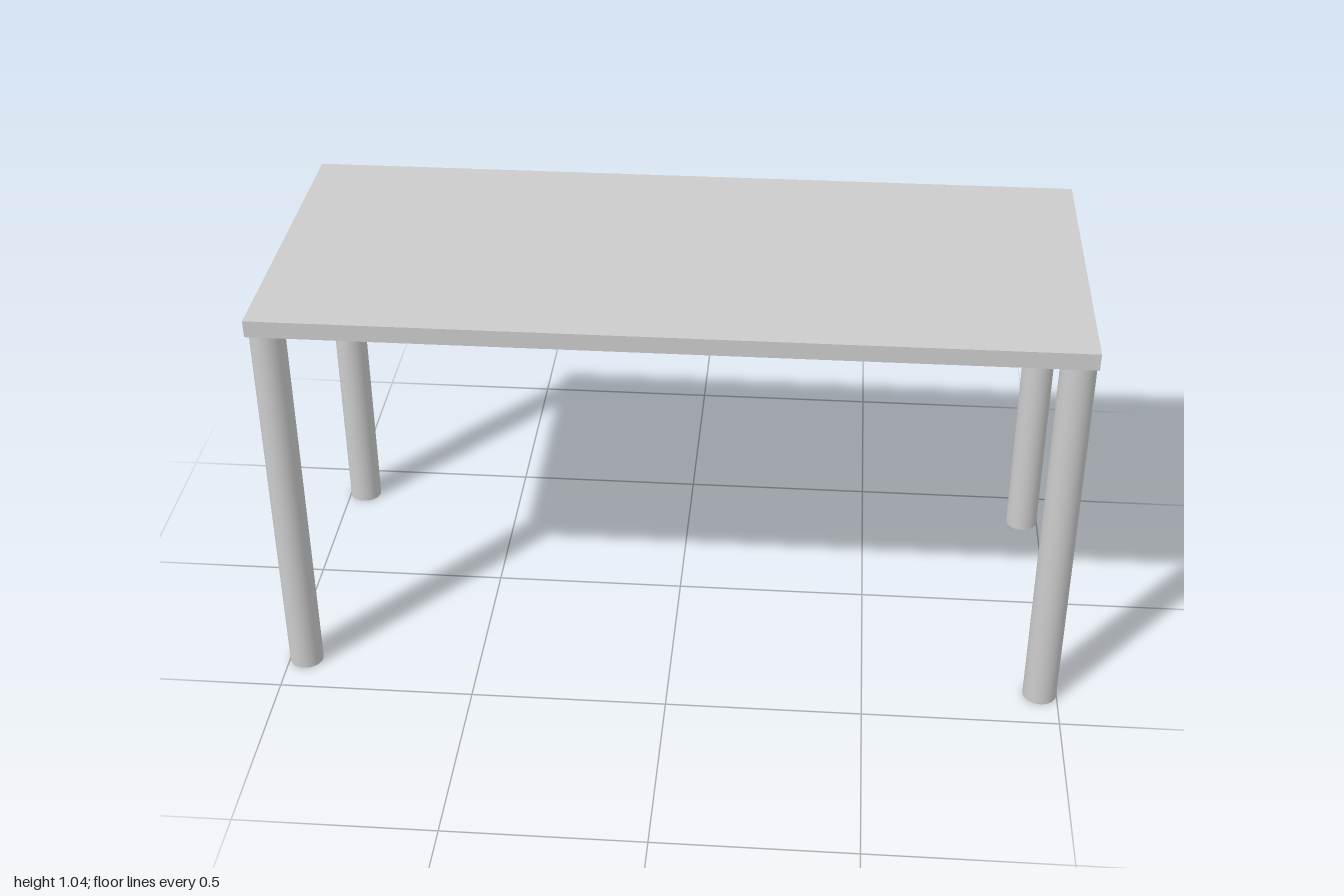
import * as THREE from 'three';

export function createModel() {
  const group = new THREE.Group();
  const material = new THREE.MeshStandardMaterial({ color: 0xcccccc });

  const width = 2, depth = 0.854, legHeight = 1.0, thickness = 0.043, radius = 0.043;

  // Flat rectangular slab
  const top = new THREE.Mesh(new THREE.BoxGeometry(width, thickness, depth), material);
  top.name = 'tableTop';
  top.position.y = legHeight + thickness / 2;
  group.add(top);

  // Four round legs, flush with the edges of the slab
  const legGeometry = new THREE.CylinderGeometry(radius, radius, legHeight, 48);
  for (const [side, sx] of [['Left', 1], ['Right', -1]]) {
    for (const [end, sz] of [['front', 1], ['back', -1]]) {
      const leg = new THREE.Mesh(legGeometry, material);
      leg.name = `${end}${side}Leg`;
      leg.position.set(sx * (width / 2 - radius), legHeight / 2, sz * (depth / 2 - radius));
      group.add(leg);
    }
  }

  return group;
}
